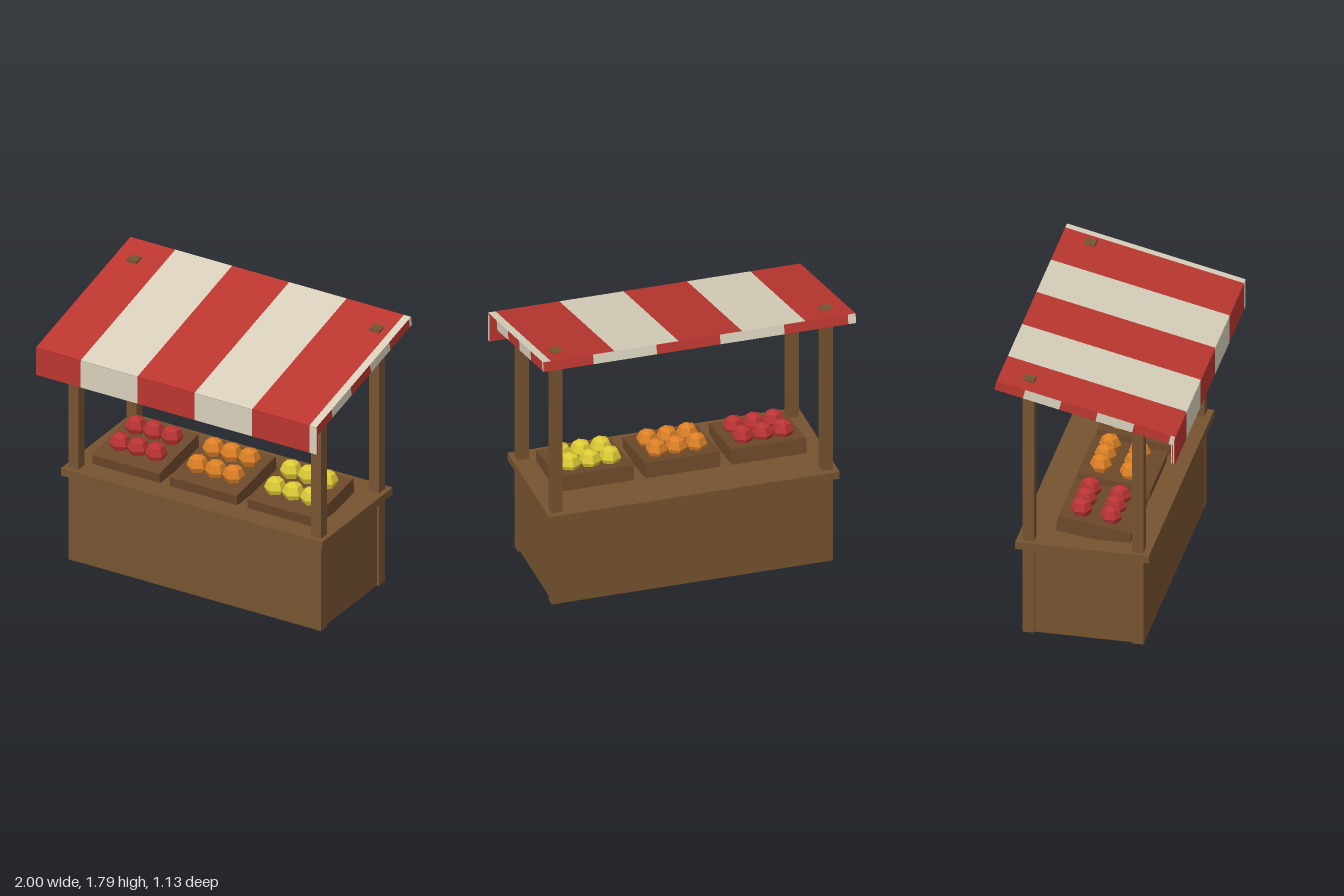
import * as THREE from 'three';
import { mergeGeometries } from 'three/addons/utils/BufferGeometryUtils.js';

const material = (name, color, flatShading = false) => {
  const m = new THREE.MeshStandardMaterial({ color, flatShading });
  m.name = name;
  return m;
};

// stripe edges as fractions of a face's width, read from its left side
const STRIPES = [0, 0.16, 0.3625, 0.566, 0.771, 0.975, 1];

// a box whose six faces each carry the same run of alternating stripes
function stripedBox(w, h, d, materials) {
  const faces = [
    [w, h, d, 0, 0], [w, h, d, 0, Math.PI],                       // front, back
    [d, h, w, 0, Math.PI / 2], [d, h, w, 0, -Math.PI / 2],        // left, right
    [w, d, h, -Math.PI / 2, 0], [w, d, h, Math.PI / 2, 0],        // top, bottom
  ];
  const parts = [[], []];
  for (const [fw, fh, depth, rx, ry] of faces) {
    for (let i = 0; i < STRIPES.length - 1; i++) {
      const a = STRIPES[i], b = STRIPES[i + 1];
      const g = new THREE.PlaneGeometry((b - a) * fw, fh);
      g.translate(((a + b) / 2 - 0.5) * fw, 0, depth / 2);
      parts[i % 2].push(g.rotateX(rx).rotateY(ry));
    }
  }
  return new THREE.Mesh(mergeGeometries(parts.map((p) => mergeGeometries(p)), true), materials);
}

export function createModel() {
  const model = new THREE.Group();
  model.name = 'marketStall';

  const wood = material('wood', 0x775330);
  const crateWood = material('crateWood', 0x6c492a);
  const red = material('awningRed', 0xbb3630);
  const cream = material('awningCream', 0xd8d0bb);
  const fruits = [
    material('redFruit', 0xba3435, true),
    material('orangeFruit', 0xdc8026, true),
    material('yellowFruit', 0xdccb35, true),
  ];

  const add = (name, mesh, x, y, z, rx = 0) => {
    mesh.name = name;
    mesh.position.set(x, y, z);
    mesh.rotation.x = rx;
    model.add(mesh);
  };
  const box = (w, h, d, mat) => new THREE.Mesh(new THREE.BoxGeometry(w, h, d), mat);

  // counter
  add('counterBody', box(1.77, 0.59, 0.752, wood), 0, 0.295, -0.033);
  add('counterTop', box(1.86, 0.05, 0.835, wood), 0, 0.615, -0.033);

  // posts; the rear pair pokes through the awning
  for (const s of [-1, 1]) {
    add('frontPost', box(0.07, 1.525, 0.07, wood), s * 0.865, 0.7625, 0.309);
    add('backPost', box(0.07, 1.765, 0.07, wood), s * 0.865, 0.8825, -0.375);
  }

  // striped awning with a hanging front valance
  add('awning', stripedBox(2, 0.062, 1.145, [red, cream]), 0, 1.636, 0, 0.225);
  add('valance', stripedBox(2, 0.18, 0.03, [red, cream]), 0, 1.44, 0.55);

  // tilted crates, each with two rows of three fruits
  const fruitGeometry = new THREE.SphereGeometry(0.07, 6, 4).rotateY(Math.PI / 2);
  fruits.forEach((fruit, i) => {
    const x = (i - 1) * 0.553;
    add('crate', box(0.48, 0.1, 0.464, crateWood), x, 0.69, 0.01, 0.14);
    for (const [y, z] of [[0.755, 0.095], [0.787, -0.09]]) {
      for (const k of [-1, 0, 1]) {
        add('fruit', new THREE.Mesh(fruitGeometry, fruit), x + k * 0.128, y, z);
      }
    }
  });

  return model;
}
